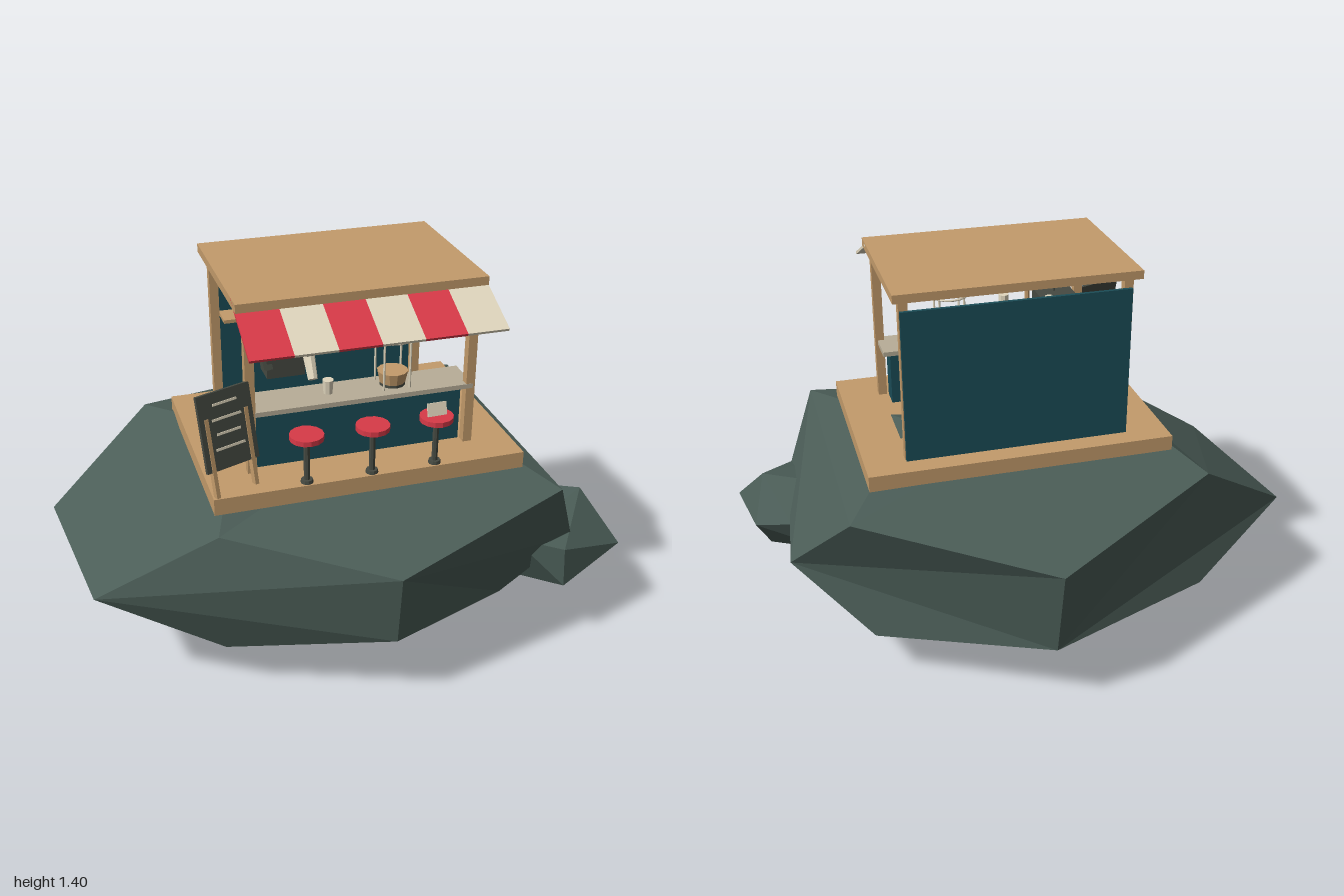
import * as THREE from 'three';
import { ConvexGeometry } from 'three/addons/geometries/ConvexGeometry.js';

const mat = (color) => new THREE.MeshStandardMaterial({ color, flatShading: true });
const WOOD = mat(0xc39b6b), TEAL = mat(0x1b4d57), ROCK = mat(0x4b5d57), RED = mat(0xd83a48);
const CREAM = mat(0xe0d6bd), DARK = mat(0x464a42), GREEN = mat(0x1f8a50), SCREEN = mat(0x3ddc5a);
const COUNTER = mat(0xb8ae98);

function add(parent, name, geometry, material, x = 0, y = 0, z = 0) {
  const mesh = new THREE.Mesh(geometry, material);
  mesh.name = name;
  mesh.position.set(x, y, z);
  parent.add(mesh);
  return mesh;
}

// Box given by its limits on each axis
function block(parent, name, material, x0, x1, y0, y1, z0, z1) {
  return add(parent, name, new THREE.BoxGeometry(x1 - x0, y1 - y0, z1 - z0), material,
    (x0 + x1) / 2, (y0 + y1) / 2, (z0 + z1) / 2);
}

// Upright cylinder standing on y
function post(parent, name, material, r0, r1, h, x, y, z, sides = 8) {
  return add(parent, name, new THREE.CylinderGeometry(r1, r0, h, sides), material, x, y + h / 2, z);
}

function group(parent, name, x, y, z) {
  const g = new THREE.Group();
  g.name = name;
  g.position.set(x, y, z);
  parent.add(g);
  return g;
}

// Dodecahedron corners (keyed by their signs) pulled to an uneven rock
const ROCK_CORNERS = {
  '---': [-0.6, 0.24, -0.45], '--+': [-0.5, 0.19, 0.48], '-+-': [-0.6, 0.7, -0.44], '-++': [-0.51, 0.66, 0.5],
  '+--': [0.6, 0.185, -0.37], '+-+': [0.53, 0.21, 0.48], '++-': [0.67, 0.7, -0.44], '+++': [0.67, 0.7, 0.61],
  '0--': [0.035, 0.26, -0.71], '0-+': [0.035, 0.29, 0.74], '0+-': [0.035, 0.595, -0.77], '0++': [0.035, 0.56, 0.77],
  '--0': [-0.3, 0.04, 0.05], '-+0': [-0.35, 0.83, 0.08], '+-0': [0.4, 0, 0.09], '++0': [0.37, 0.81, 0.03],
  '-0-': [-1, 0.42, -0.24], '+0-': [0.86, 0.42, -0.18], '-0+': [-0.925, 0.42, 0.39], '+0+': [0.79, 0.42, 0.5],
};

function rockGeometry() {
  const geo = new THREE.DodecahedronGeometry(1);
  const p = geo.attributes.position;
  const sign = (v) => (Math.abs(v) < 0.01 ? '0' : v > 0 ? '+' : '-');
  for (let i = 0; i < p.count; i++) {
    p.setXYZ(i, ...ROCK_CORNERS[sign(p.getX(i)) + sign(p.getY(i)) + sign(p.getZ(i))]);
  }
  geo.computeVertexNormals();
  return geo;
}

function addRocks(parent) {
  add(parent, 'floatingRock', rockGeometry(), ROCK);
  const corners = [
    [1, 0.34, 0.49], [0.955, 0.345, 0.22], [0.905, 0.505, 0.33], [0.725, 0.42, 0.58],
    [0.56, 0.45, 0.5], [0.67, 0.5, 0.2], [0.83, 0.4, 0.1], [0.9, 0.19, 0.33],
    [0.6, 0.19, 0.33], [0.73, 0.27, 0.59], [0.53, 0.35, 0.3], [0.7, 0.28, 0.08],
  ].map((c) => new THREE.Vector3(...c));
  add(parent, 'leftBoulder', new ConvexGeometry(corners), ROCK);
  const small = add(parent, 'rightBoulder', new THREE.DodecahedronGeometry(1), ROCK, -0.73, 0.31, -0.02);
  small.scale.set(0.2, 0.09, 0.17);
}

function addStall(parent) {
  block(parent, 'deck', WOOD, -0.515, 0.58, 0.73, 0.79, -0.3, 0.475);
  block(parent, 'roof', WOOD, -0.395, 0.46, 1.375, 1.405, -0.24, 0.352);
  for (const x of [-0.354, 0.422]) {
    for (const z of [-0.198, 0.328]) block(parent, 'roofPost', WOOD, x - 0.016, x + 0.016, 0.79, 1.375, z - 0.016, z + 0.016);
  }
  block(parent, 'backWall', TEAL, -0.365, 0.435, 0.79, 1.338, -0.226, -0.213);
  block(parent, 'counterBody', TEAL, -0.335, 0.4, 0.79, 1, 0.232, 0.31);
  block(parent, 'counterTop', COUNTER, -0.34, 0.43, 0.998, 1.015, 0.195, 0.345);

  // Striped awning sloping down to the front
  const awning = group(parent, 'awning', 0.0325, 1.343, 0.407);
  awning.rotation.x = 0.43;
  const w = 0.855 / 6;
  for (let i = 0; i < 6; i++) {
    add(awning, 'awningStripe', new THREE.BoxGeometry(w, 0.01, 0.265), i % 2 ? CREAM : RED, (i - 2.5) * w, 0, 0);
  }
}

function addStools(parent) {
  for (const x of [-0.195, 0.032, 0.257]) {
    const stool = group(parent, 'stool', x, 0.79, 0.45);
    post(stool, 'stoolBase', DARK, 0.022, 0.02, 0.012, 0, 0, 0, 10);
    post(stool, 'stoolStem', DARK, 0.011, 0.011, 0.165, 0, 0, 0);
    post(stool, 'stoolSeat', RED, 0.058, 0.058, 0.018, 0, 0.163, 0, 14);
  }
  const card = add(parent, 'menuCard', new THREE.BoxGeometry(0.07, 0.045, 0.006), CREAM, 0.257, 0.994, 0.45);
  card.rotation.set(-0.3, 0.1, 0);
}

function addMenuBoard(parent) {
  const stand = group(parent, 'menuBoard', -0.44, 0.79, 0.41);
  stand.rotation.y = 0.36;
  const face = group(stand, 'boardFace', 0, 0, 0.03);
  face.rotation.x = -0.2;
  block(face, 'boardPanel', DARK, -0.1, 0.1, 0.09, 0.35, -0.006, 0.006);
  for (const x of [-0.075, 0.075]) block(face, 'boardLeg', WOOD, x - 0.007, x + 0.007, 0, 0.27, -0.012, 0.009);
  [0.31, 0.26, 0.21, 0.16].forEach((y, i) => {
    const half = i % 2 ? 0.055 : 0.045;
    block(face, 'chalkLine', CREAM, -half, half, y - 0.004, y + 0.004, 0.006, 0.009);
  });
  const brace = block(stand, 'rearBrace', WOOD, -0.007, 0.007, -0.14, 0.14, -0.006, 0.006);
  brace.position.set(0, 0.135, -0.08);
  brace.rotation.x = 0.35;
}

// Bottle with a narrow neck, from a lathe profile
function bottle(parent, material, r, h, x) {
  const profile = [[0, 0], [1, 0], [1, 0.58], [0.42, 0.74], [0.42, 1], [0, 1]];
  const geo = new THREE.LatheGeometry(profile.map(([a, b]) => new THREE.Vector2(a * r, b * h)), 8);
  add(parent, 'bottle', geo, material, x, 1.153, -0.155);
}

function addShelf(parent) {
  block(parent, 'shelf', WOOD, -0.335, 0.39, 1.14, 1.153, -0.213, -0.12);
  bottle(parent, CREAM, 0.02, 0.1, -0.255);
  bottle(parent, GREEN, 0.022, 0.105, 0.235);
  bottle(parent, GREEN, 0.02, 0.1, -0.16);
  bottle(parent, WOOD, 0.022, 0.215, -0.012);
  post(parent, 'tallJar', CREAM, 0.018, 0.018, 0.185, 0.07, 1.153, -0.155);
  post(parent, 'tallJar', CREAM, 0.016, 0.016, 0.16, -0.09, 1.153, -0.155);
  block(parent, 'box', COUNTER, 0.13, 0.18, 1.153, 1.255, -0.175, -0.135);
  block(parent, 'smallBox', CREAM, 0.295, 0.34, 1.153, 1.195, -0.175, -0.135);
}

function addRobot(parent) {
  const robot = group(parent, 'robotBartender', -0.15, 0, -0.02);
  block(robot, 'body', DARK, -0.07, 0.07, 0.975, 1.157, -0.05, 0.05);
  post(robot, 'neck', DARK, 0.025, 0.025, 0.03, 0, 1.155, 0);
  block(robot, 'head', DARK, -0.065, 0.065, 1.182, 1.277, -0.05, 0.05);
  block(robot, 'faceScreen', SCREEN, -0.052, 0.052, 1.198, 1.258, 0.05, 0.056);
  post(robot, 'antenna', DARK, 0.004, 0.004, 0.085, 0, 1.277, 0, 6);
  add(robot, 'antennaTip', new THREE.IcosahedronGeometry(0.013, 1), RED, 0, 1.366, 0);

  // One arm reaches forward with a cup, the other hangs outward
  const arm = group(robot, 'reachingArm', 0.083, 1.125, 0);
  arm.rotation.x = -0.62;
  block(arm, 'armBar', DARK, -0.012, 0.012, -0.1, 0.01, -0.02, 0.02);
  post(arm, 'cup', CREAM, 0.018, 0.022, 0.085, 0, -0.18, 0);
  const other = group(robot, 'hangingArm', -0.082, 1.14, 0);
  other.rotation.set(-0.3, 0, 0.15);
  block(other, 'armBar', DARK, -0.013, 0.013, -0.14, 0.005, -0.016, 0.016);
}

function addCounterItems(parent) {
  // Round cooker: bowl inside a slim rail frame
  const cooker = group(parent, 'cooker', 0.165, 1.015, 0.262);
  post(cooker, 'bowlFoot', DARK, 0.045, 0.045, 0.012, 0, 0, 0, 12);
  post(cooker, 'bowl', WOOD, 0.045, 0.054, 0.042, 0, 0.01, 0, 12);
  for (let i = 0; i < 4; i++) {
    const a = Math.PI / 4 + (i * Math.PI) / 2;
    post(cooker, 'railPost', CREAM, 0.004, 0.004, 0.175, 0.066 * Math.cos(a), 0, 0.066 * Math.sin(a), 6);
  }
  const ring = add(cooker, 'topRing', new THREE.TorusGeometry(0.068, 0.004, 6, 16), CREAM, 0, 0.175, 0);
  ring.rotation.x = Math.PI / 2;
  post(parent, 'mug', CREAM, 0.016, 0.02, 0.05, -0.068, 1.015, 0.27);

  // Hanging lamp
  post(parent, 'lampCord', DARK, 0.003, 0.003, 0.08, 0.295, 1.295, 0.212, 6);
  add(parent, 'lamp', new THREE.IcosahedronGeometry(0.023, 1), COUNTER, 0.295, 1.28, 0.212);
}

export function createModel() {
  const model = new THREE.Group();
  model.name = 'floatingBar';
  addRocks(model);
  addStall(model);
  addStools(model);
  addMenuBoard(model);
  addShelf(model);
  addRobot(model);
  addCounterItems(model);
  return model;
}
